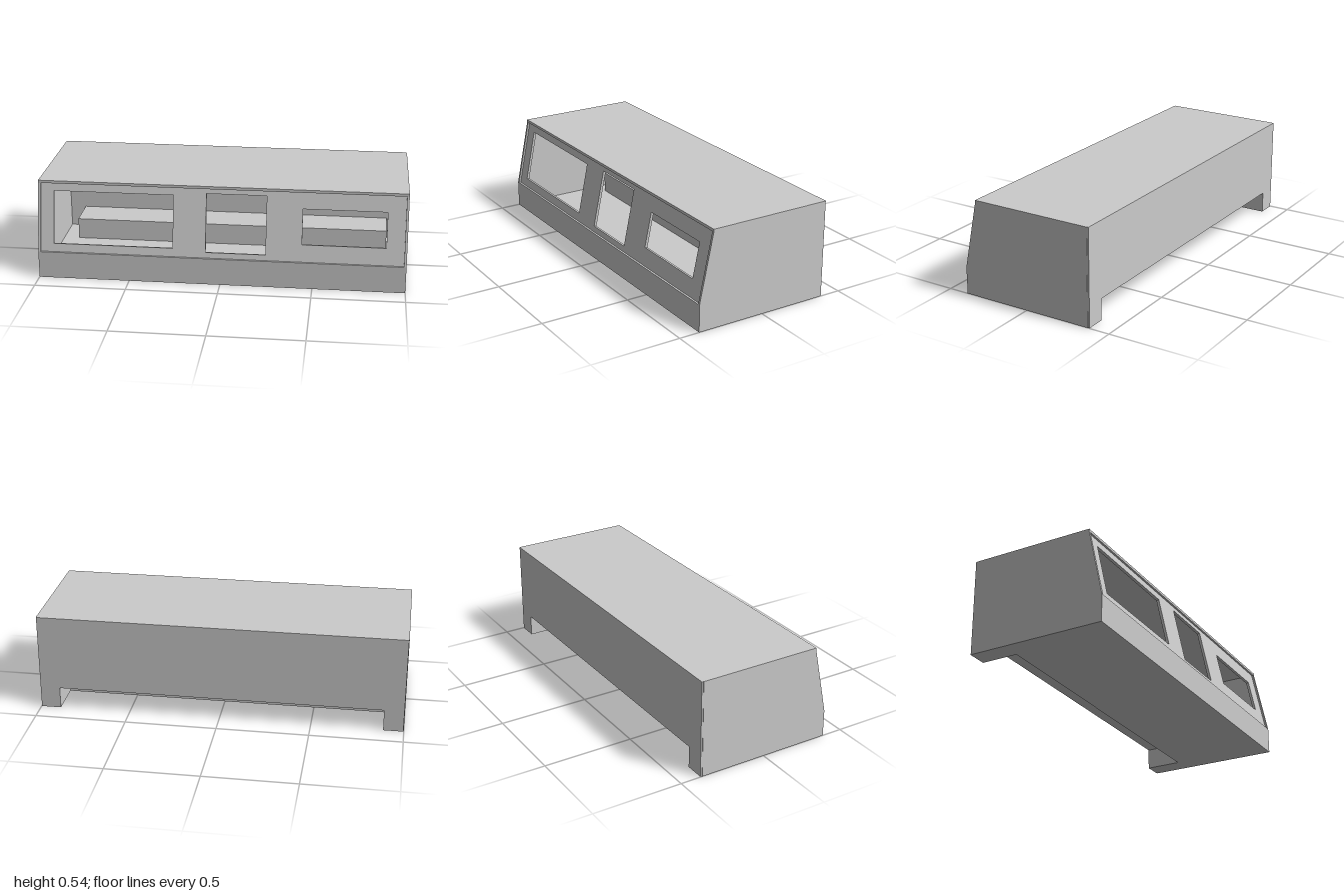
import * as THREE from 'three';

const H = 0.538, D = 0.385, WALL = 0.013;       // case height, half depth, wall thickness
const LEDGE = 0.15, LIP = 0.523, TOP_Z = 0.307; // start and end of the sloped front
const CH = { x: 0.89, y: 0.12, z: -0.18 };      // rear cable channel: half width, height, front

export function createModel() {
  const group = new THREE.Group();
  const material = new THREE.MeshStandardMaterial({ color: 0xcccccc, flatShading: true });

  const add = (name, geometry) => {
    const mesh = new THREE.Mesh(geometry, material);
    mesh.name = name;
    group.add(mesh);
    return mesh;
  };
  // Box given by its limits on each axis
  const box = (name, x0, x1, y0, y1, z0, z1) =>
    add(name, new THREE.BoxGeometry(x1 - x0, y1 - y0, z1 - z0)
      .translate((x0 + x1) / 2, (y0 + y1) / 2, (z0 + z1) / 2));
  const outline = (points) => new THREE.Shape(points.map(([x, y]) => new THREE.Vector2(x, y)));
  const extrude = (shape, depth) =>
    new THREE.ExtrudeGeometry(shape, { depth, bevelEnabled: false });

  // Side walls with the sloped front edge
  const profile = outline([
    [-D, 0], [D - 0.01, 0], [D - 0.01, H], [-TOP_Z, H], [-TOP_Z, LIP], [-D, LEDGE],
  ]);
  for (const side of [-1, 1]) {
    const wall = add(side > 0 ? 'leftWall' : 'rightWall',
      extrude(profile, WALL).rotateY(Math.PI / 2));
    wall.position.x = side > 0 ? 1 - WALL : -1;
  }

  // Top and lower front strip, which forms a ledge under the sloped panel
  const inner = 1 - WALL;
  box('top', -inner, inner, LIP, H, -D + 0.01, TOP_Z);
  box('lowerFront', -inner, inner, 0, LEDGE, D - 0.025, D);

  // Floor with the channel cut out at the rear
  const floor = outline([
    [-inner, -D + 0.025], [inner, -D + 0.025], [inner, D - 0.01], [CH.x, D - 0.01],
    [CH.x, -CH.z], [-CH.x, -CH.z], [-CH.x, D - 0.01], [-inner, D - 0.01],
  ]);
  add('floor', extrude(floor, 0.01).rotateX(-Math.PI / 2));

  // Back panel with the channel opening
  const back = outline([
    [-0.998, 0], [-CH.x, 0], [-CH.x, CH.y], [CH.x, CH.y],
    [CH.x, 0], [0.998, 0], [0.998, H], [-0.998, H],
  ]);
  add('backPanel', extrude(back, 0.01)).position.z = -D;

  // Raised housing over the channel
  const t = 0.01;
  box('channelRoof', -CH.x - t, CH.x + t, CH.y, CH.y + t, -D + 0.01, CH.z + t);
  box('channelFront', -CH.x - t, CH.x + t, 0.001, CH.y, CH.z, CH.z + t);
  box('channelRightEnd', -CH.x - t, -CH.x, 0.001, CH.y, -D + 0.01, CH.z);
  box('channelLeftEnd', CH.x, CH.x + t, 0.001, CH.y, -D + 0.01, CH.z);

  // Recessed sloped panel with three windows
  const tilt = Math.atan2(D - TOP_Z, LIP - LEDGE);
  const along = (y) => (y - LEDGE) / Math.cos(tilt);
  const rect = (x0, x1, y0, y1) =>
    [[x0, along(y0)], [x1, along(y0)], [x1, along(y1)], [x0, along(y1)]];
  const panel = outline(rect(-inner, inner, LEDGE, LIP + 0.003));
  const windows = [
    [-0.915, -0.26, 0.195, 0.48],
    [-0.08, 0.245, 0.18, 0.495],
    [0.44, 0.89, 0.243, 0.433],
  ];
  for (const w of windows) panel.holes.push(outline(rect(...w)));
  const front = add('windowPanel', extrude(panel, 0.015).translate(0, 0, -0.015));
  front.rotation.x = -tilt;
  front.position.set(0, LEDGE, D - 0.011);

  return group;
}
